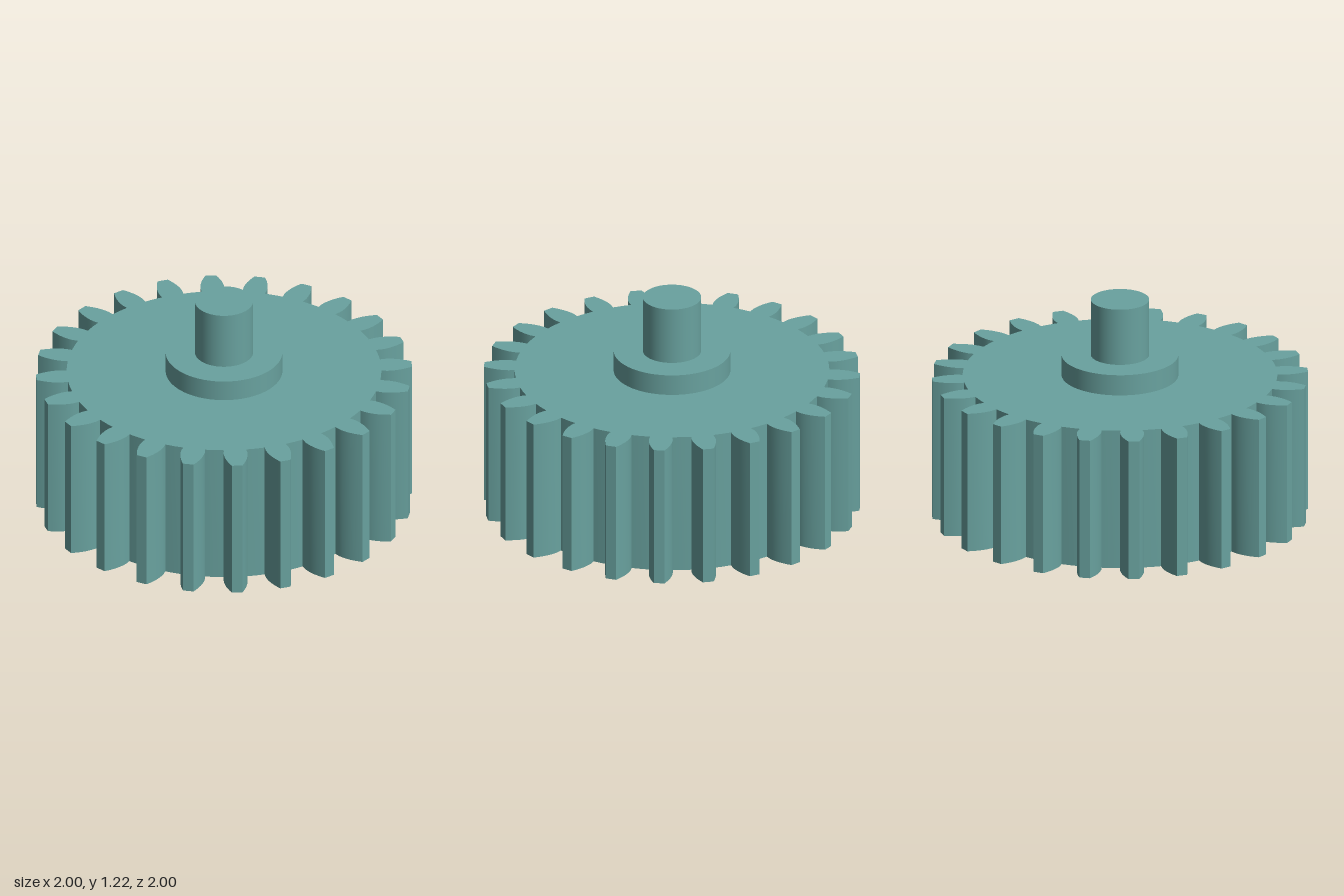
import * as THREE from 'three';
import { toCreasedNormals } from 'three/addons/utils/BufferGeometryUtils.js';

const TEETH = 24;
const ROOT = 0.84;
const GEAR_HEIGHT = 0.785;

// One tooth flank from root to tip: [radius, half angle in degrees]
const FLANK = [
  [ROOT, 4.05], [0.872, 4.2], [0.895, 4.05], [0.918, 3.75],
  [0.94, 3.36], [0.962, 2.85], [0.984, 2.27], [1.005, 1.65],
];

function gearShape() {
  const points = [];
  const add = (radius, degrees) => {
    const a = THREE.MathUtils.degToRad(degrees);
    points.push(new THREE.Vector2(radius * Math.cos(a), radius * Math.sin(a)));
  };
  const pitch = 360 / TEETH;
  for (let i = 0; i < TEETH; i++) {
    const middle = (i + 0.5) * pitch;
    add(ROOT, middle - pitch / 2); // middle of the gap before the tooth
    for (const [r, half] of FLANK) add(r, middle - half);
    for (const [r, half] of [...FLANK].reverse()) add(r, middle + half);
  }
  return new THREE.Shape(points);
}

export function createModel() {
  const group = new THREE.Group();
  group.name = 'spurGear';
  const metal = new THREE.MeshStandardMaterial({ color: 0x69a29f });
  metal.name = 'tealMetal';

  const addPart = (name, geometry, y = 0) => {
    const mesh = new THREE.Mesh(geometry, metal);
    mesh.name = name;
    mesh.position.y = y;
    group.add(mesh);
  };

  // Toothed wheel, extruded upward, with smooth flanks and sharp edges
  const gear = new THREE.ExtrudeGeometry(gearShape(), { depth: GEAR_HEIGHT, bevelEnabled: false });
  gear.rotateX(-Math.PI / 2);
  addPart('gearWheel', toCreasedNormals(gear, THREE.MathUtils.degToRad(22)));

  // Hub collar and shaft stacked on top
  const cylinder = (radius, bottom, top) => {
    const height = top - bottom;
    return [new THREE.CylinderGeometry(radius, radius, height, 64), bottom + height / 2];
  };
  addPart('hubCollar', ...cylinder(0.312, GEAR_HEIGHT, 0.9));
  addPart('shaft', ...cylinder(0.156, 0.9, 1.215));

  return group;
}
